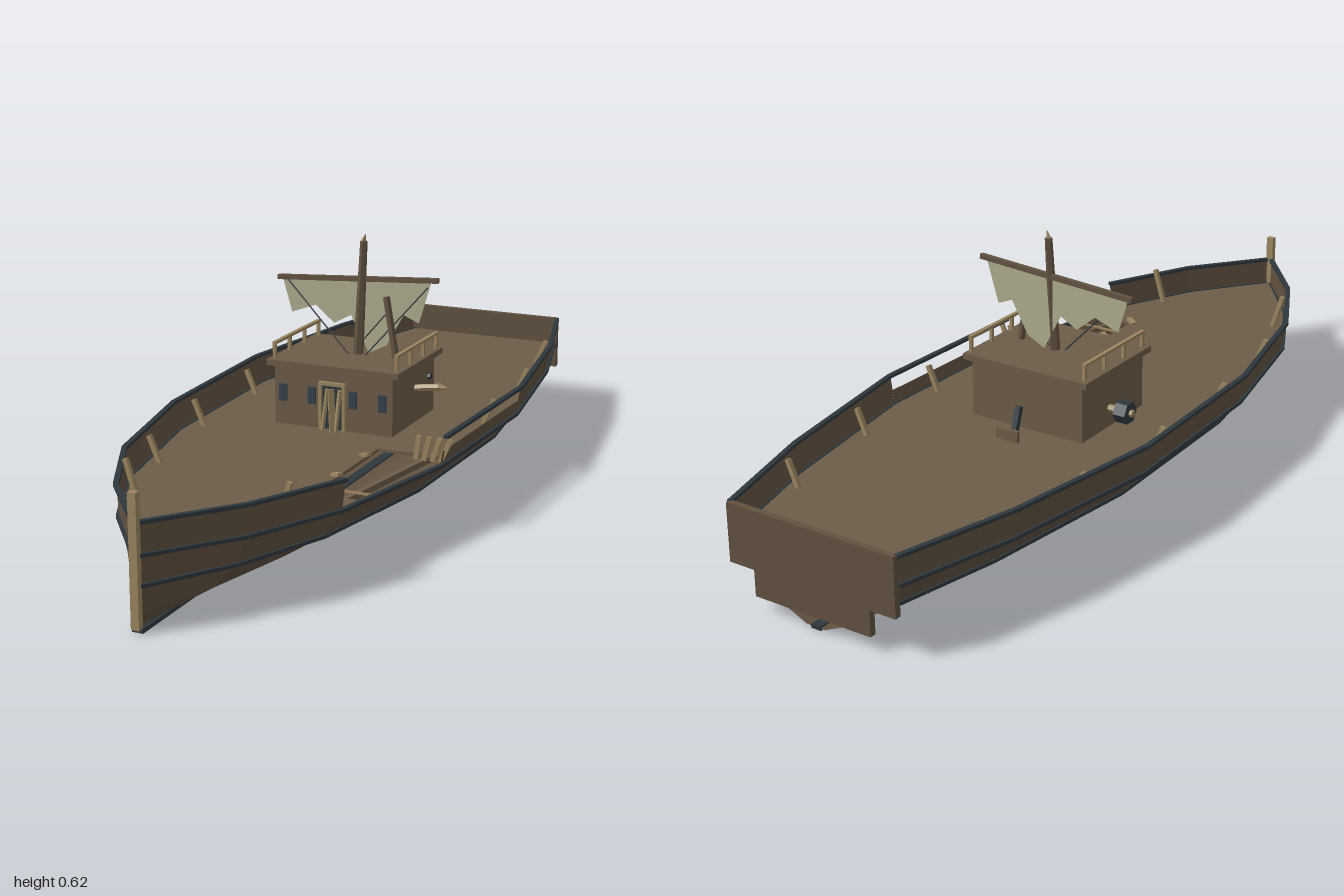
import * as THREE from 'three';

const V = (x, y, z) => new THREE.Vector3(x, y, z);
const material = (name, color, side = THREE.FrontSide) => {
  const m = new THREE.MeshStandardMaterial({ color, side });
  m.name = name;
  return m;
};

// Half-width of the hull at each station, stern to bow
const STATIONS = [[-0.99, 0.22], [-0.69, 0.30], [-0.27, 0.365], [0.2, 0.35], [0.57, 0.27], [0.8, 0.155], [0.985, 0.006]];
// Cross-section: [width factor, height], rail down to keel
const LEVELS = [[1, 0.235], [0.968, 0.165], [0.805, 0.1], [0.46, 0.04], [0.11, 0.006], [0, 0.006]];
const DECK_Y = 0.167;

export function createModel() {
  const ship = new THREE.Group();
  ship.name = 'ship';
  const hullWood = material('hull wood', 0x615140, THREE.DoubleSide);
  const deckWood = material('deck wood', 0x6d5c48);
  const mastWood = material('mast wood', 0x635342);
  const paleWood = material('pale wood', 0x9c8661);
  const iron = material('dark iron', 0x2e383d);
  const glass = material('window', 0x34424b);
  const canvas = material('sail canvas', 0xb0ac8f, THREE.DoubleSide);

  const add = (name, geometry, mat, parent = ship) => {
    const mesh = new THREE.Mesh(geometry, mat);
    mesh.name = name;
    parent.add(mesh);
    return mesh;
  };
  const box = (name, mat, w, h, d, x, y, z, parent) => {
    const mesh = add(name, new THREE.BoxGeometry(w, h, d), mat, parent);
    mesh.position.set(x, y, z);
    return mesh;
  };
  // Square beam from a to b
  const beam = (name, mat, a, b, w, h = w, parent = ship) => {
    const mesh = add(name, new THREE.BoxGeometry(w, h, a.distanceTo(b)), mat, parent);
    mesh.position.copy(a).add(b).multiplyScalar(0.5);
    mesh.lookAt(b);
    return mesh;
  };
  const rod = (name, mat, a, b, r0, r1 = r0, sides = 6) => {
    const mesh = add(name, new THREE.CylinderGeometry(r1, r0, a.distanceTo(b), sides).toNonIndexed(), mat);
    mesh.geometry.computeVertexNormals();
    mesh.position.copy(a).add(b).multiplyScalar(0.5);
    mesh.quaternion.setFromUnitVectors(V(0, 1, 0), b.clone().sub(a).normalize());
    return mesh;
  };
  // Panels with one shared normal each
  const panelGeometry = (quads) => {
    const g = new THREE.BufferGeometry().setFromPoints(quads.flatMap(([a, b, c, d]) => [a, b, c, a, c, d]));
    const normals = quads.flatMap(([a, b, c, d]) => {
      const n = c.clone().sub(a).cross(d.clone().sub(b)).normalize().toArray();
      return Array(6).fill(n).flat();
    });
    return g.setAttribute('normal', new THREE.Float32BufferAttribute(normals, 3));
  };
  const hullPoint = (i, side, [f, y], out = 0) => V(side * (STATIONS[i][1] * f + out), y, STATIONS[i][0]);
  const strake = (name, side, top, bottom, from, to) => {
    const quads = [];
    for (let i = from; i < to; i++) {
      const q = [hullPoint(i, side, bottom), hullPoint(i, side, top), hullPoint(i + 1, side, top), hullPoint(i + 1, side, bottom)];
      quads.push(side > 0 ? q : q.reverse());
    }
    add(name, panelGeometry(quads), hullWood);
  };

  // Hull planking; the left bulwark is broken down amidships
  strake('rightBulwark', -1, LEVELS[0], LEVELS[1], 0, 6);
  strake('leftBulwarkAft', 1, LEVELS[0], LEVELS[1], 0, 2);
  strake('leftBulwarkBroken', 1, [0.983, 0.2], LEVELS[1], 2, 3);
  strake('leftBulwarkFore', 1, LEVELS[0], LEVELS[1], 4, 6);
  for (const side of [-1, 1]) {
    for (let l = 1; l < 5; l++) strake('hullStrake', side, LEVELS[l], LEVELS[l + 1], 0, 6);
    // Dark rubbing bands and rail
    for (let l = 0; l < 3; l++) {
      for (let i = 0; i < 6; i++) {
        if (l === 0 && side > 0 && i === 3) continue;
        beam(l ? 'hullBand' : 'topRail', iron, hullPoint(i, side, LEVELS[l], 0.001), hullPoint(i + 1, side, LEVELS[l], 0.001), 0.012, 0.008);
      }
    }
  }
  box('upperTransom', hullWood, 0.445, 0.14, 0.016, 0, 0.168, -0.992);
  box('lowerTransom', hullWood, 0.31, 0.065, 0.016, 0, 0.068, -0.992);
  box('keel', iron, 0.026, 0.01, 1.98, 0, 0.005, 0);
  box('stemPost', paleWood, 0.019, 0.292, 0.016, 0, 0.154, 0.992);

  // Deck with a broken notch on the left side
  const edge = STATIONS.map(([z, w]) => [w * 0.965, z]);
  const outline = [
    ...edge.slice(0, 3), [0.339, 0.14], [0.16, 0.14], [0.16, 0.5], [0.275, 0.5], ...edge.slice(4),
    ...edge.map(([x, z]) => [-x, z]).reverse(),
  ];
  const deckShape = new THREE.Shape(outline.map(([x, z]) => new THREE.Vector2(x, -z)));
  const deck = add('deck', new THREE.ExtrudeGeometry(deckShape, { depth: 0.008, bevelEnabled: false }).rotateX(-Math.PI / 2), deckWood);
  deck.position.y = DECK_Y - 0.008;

  // Exposed beams and splinters in the notch
  beam('brokenBeam', deckWood, V(0.29, 0.16, 0.14), V(0.22, 0.15, 0.5), 0.014);
  beam('brokenBeam', deckWood, V(0.265, 0.15, 0.14), V(0.21, 0.14, 0.5), 0.008);
  beam('crossBeam', paleWood, V(0.16, 0.16, 0.44), V(0.285, 0.16, 0.44), 0.005);
  for (const z of [0.21, 0.37, 0.5]) beam('deckSplinter', paleWood, V(0.145, 0.168, z - 0.004), V(0.17, 0.175, z + 0.008), 0.014, 0.008);
  for (let i = 0; i < 4; i++) {
    const x = 0.272 + i * 0.02;
    beam('brokenRib', paleWood, V(x, 0.168, 0.185), V(x + 0.008 + i * 0.006, 0.226, 0.185), 0.006, 0.012);
  }

  // Bulwark braces
  const braces = [[0.255, -0.755], [0.305, -0.455], [0.325, -0.155], [0.315, 0.145], [0.265, 0.45], [0.185, 0.69]];
  braces.forEach(([x, z], i) => {
    for (const side of [-1, 1]) {
      if (side > 0 && (i === 3 || i === 4)) continue;
      beam('bulwarkBrace', paleWood, V(side * (x - 0.015), DECK_Y, z), V(side * (x + 0.012), i === 5 ? 0.255 : 0.23, z), 0.011);
    }
  });

  // Cabin
  const cabin = new THREE.Group();
  cabin.name = 'cabin';
  ship.add(cabin);
  box('cabinWalls', deckWood, 0.31, 0.145, 0.265, 0, 0.238, -0.085, cabin);
  box('cabinRoof', deckWood, 0.347, 0.015, 0.285, -0.002, 0.318, -0.09, cabin);
  for (const x of [-0.132, -0.055, 0.053, 0.13]) box('cabinWindow', glass, 0.02, 0.042, 0.006, x, 0.247, 0.05, cabin);
  box('doorway', iron, 0.05, 0.105, 0.006, 0, 0.222, 0.05, cabin);
  for (const x of [-0.031, 0.031]) box('doorPost', paleWood, 0.008, 0.118, 0.014, x, 0.226, 0.05, cabin);
  box('doorLintel', paleWood, 0.07, 0.008, 0.014, 0, 0.282, 0.05, cabin);
  for (const [x, lean] of [[-0.016, 0.005], [0.002, -0.004], [0.018, 0.004]]) {
    beam('doorPlank', paleWood, V(x - lean, DECK_Y, 0.064), V(x + lean, 0.27, 0.056), 0.015, 0.006, cabin);
  }
  // Roof railings
  for (const x of [-0.161, 0.16]) {
    for (const z of [0.035, -0.048, -0.132, -0.215]) box('railPost', paleWood, 0.008, 0.042, 0.008, x, 0.346, z, cabin);
    box('roofRail', paleWood, 0.009, 0.007, 0.258, x, 0.364, -0.09, cabin);
  }

  // Winch drum on one wall, broken shaft on the other
  rod('winchShaft', paleWood, V(-0.15, 0.215, -0.1), V(-0.222, 0.215, -0.1), 0.009);
  rod('winchDrum', iron, V(-0.182, 0.215, -0.1), V(-0.214, 0.215, -0.1), 0.028);
  rod('brokenShaft', paleWood, V(0.15, 0.253, -0.095), V(0.215, 0.261, -0.1), 0.009);
  rod('shaftTip', paleWood, V(0.215, 0.261, -0.1), V(0.237, 0.26, -0.1), 0.01, 0.002);
  rod('wallBolt', iron, V(0.15, 0.262, -0.18), V(0.162, 0.262, -0.18), 0.008);

  // Hatch lever behind the cabin
  box('leverBoard', deckWood, 0.06, 0.028, 0.01, 0, 0.181, -0.295);
  beam('lever', iron, V(0, 0.175, -0.268), V(0, 0.235, -0.248), 0.014);

  // Mast, yard, spar and rigging
  rod('mast', mastWood, V(0.005, 0.32, -0.09), V(0.015, 0.605, -0.1), 0.013, 0.009);
  rod('mastSplinter', paleWood, V(0.014, 0.603, -0.1), V(0.019, 0.622, -0.1), 0.008, 0.001, 4);
  beam('yard', mastWood, V(-0.216, 0.497, -0.1), V(0.21, 0.524, -0.1), 0.012);
  beam('leaningSpar', mastWood, V(0.11, 0.325, -0.08), V(0.08, 0.475, -0.088), 0.012);
  rod('stay', iron, V(-0.185, 0.495, -0.09), V(-0.018, 0.325, -0.08), 0.0018, 0.0018, 5);
  rod('stay', iron, V(0.187, 0.507, -0.09), V(0.028, 0.325, -0.08), 0.0018, 0.0018, 5);
  rod('stay', iron, V(0.085, 0.44, -0.092), V(0.018, 0.36, -0.085), 0.0018, 0.0018, 5);

  // Torn sail
  const sailOutline = [
    [-0.205, 0.495], [-0.18, 0.41], [-0.115, 0.434], [-0.065, 0.393], [-0.02, 0.417], [0.0, 0.38], [0.028, 0.326],
    [0.075, 0.35], [0.12, 0.43], [0.16, 0.414], [0.192, 0.52],
  ].map(([x, y]) => new THREE.Vector2(x, y));
  const sail = add('sail', new THREE.ShapeGeometry(new THREE.Shape(sailOutline)), canvas);
  sail.position.z = -0.102;

  return ship;
}
